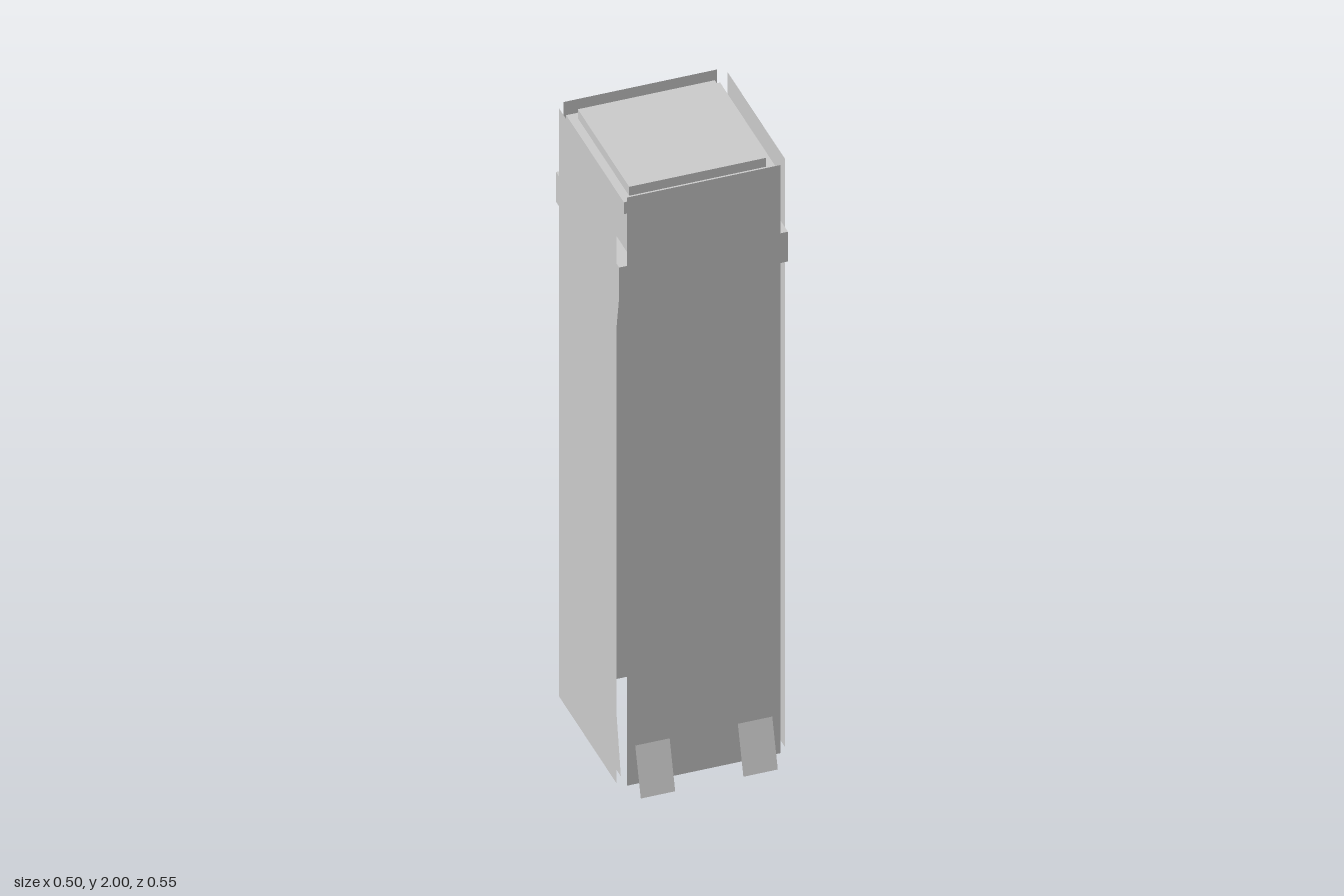
import * as THREE from 'three';

export function createModel() {
  const model = new THREE.Group();
  const solid = new THREE.MeshStandardMaterial({ color: 0xcccccc, flatShading: true });
  const sheet = new THREE.MeshStandardMaterial({ color: 0xcccccc, flatShading: true, side: THREE.DoubleSide });

  // Shaft sits slightly behind centre because the feet lean forward
  const tower = new THREE.Group();
  tower.name = 'tower';
  tower.position.z = -0.022;
  model.add(tower);

  function add(parent, name, geometry, material, x, y, z) {
    const mesh = new THREE.Mesh(geometry, material);
    mesh.name = name;
    mesh.position.set(x, y, z);
    parent.add(mesh);
    return mesh;
  }

  // Square slab spanning two heights
  function slab(name, half, bottom, top) {
    add(tower, name, new THREE.BoxGeometry(half * 2, top - bottom, half * 2), solid, 0, (bottom + top) / 2, 0);
  }

  // Collar, head and rim, stacked at the top of the shaft
  slab('collar', 0.25, 1.67, 1.77);
  slab('head', 0.203, 1.77, 2);
  slab('rim', 0.228, 1.93, 1.97);

  // Crossed strip with slanting sides, spanning the height below the collar
  function braceGeometry(dir) {
    const w = 0.065, run = 0.15 * dir;
    const shape = new THREE.Shape();
    shape.moveTo(-run - w, 0.03);
    shape.lineTo(-run + w, 0.03);
    shape.lineTo(run + w, 1.67);
    shape.lineTo(run - w, 1.67);
    shape.closePath();
    return new THREE.ShapeGeometry(shape);
  }

  // Four thin walls, open at the corners, each with a crossed brace inside
  ['front', 'left', 'back', 'right'].forEach((label, i) => {
    const side = new THREE.Group();
    side.name = label + 'Side';
    side.rotation.y = i * Math.PI / 2;
    tower.add(side);
    add(side, label + 'Panel', new THREE.PlaneGeometry(0.455, 1.98), sheet, 0, 1.01, 0.25);
    add(side, label + 'BraceA', braceGeometry(1), sheet, 0, 0, 0.235);
    add(side, label + 'BraceB', braceGeometry(-1), sheet, 0, 0, 0.232);
  });

  // Thin feet, all leaning the same way
  const tilt = Math.atan2(0.044, 0.15);
  for (const z of [0.251, -0.251]) {
    for (const x of [0.152, -0.152]) {
      const foot = add(model, (z > 0 ? 'front' : 'back') + (x > 0 ? 'Left' : 'Right') + 'Foot',
        new THREE.PlaneGeometry(0.102, Math.hypot(0.15, 0.044)), sheet, x, 0.075, z);
      foot.rotation.x = -tilt;
    }
  }

  return model;
}
